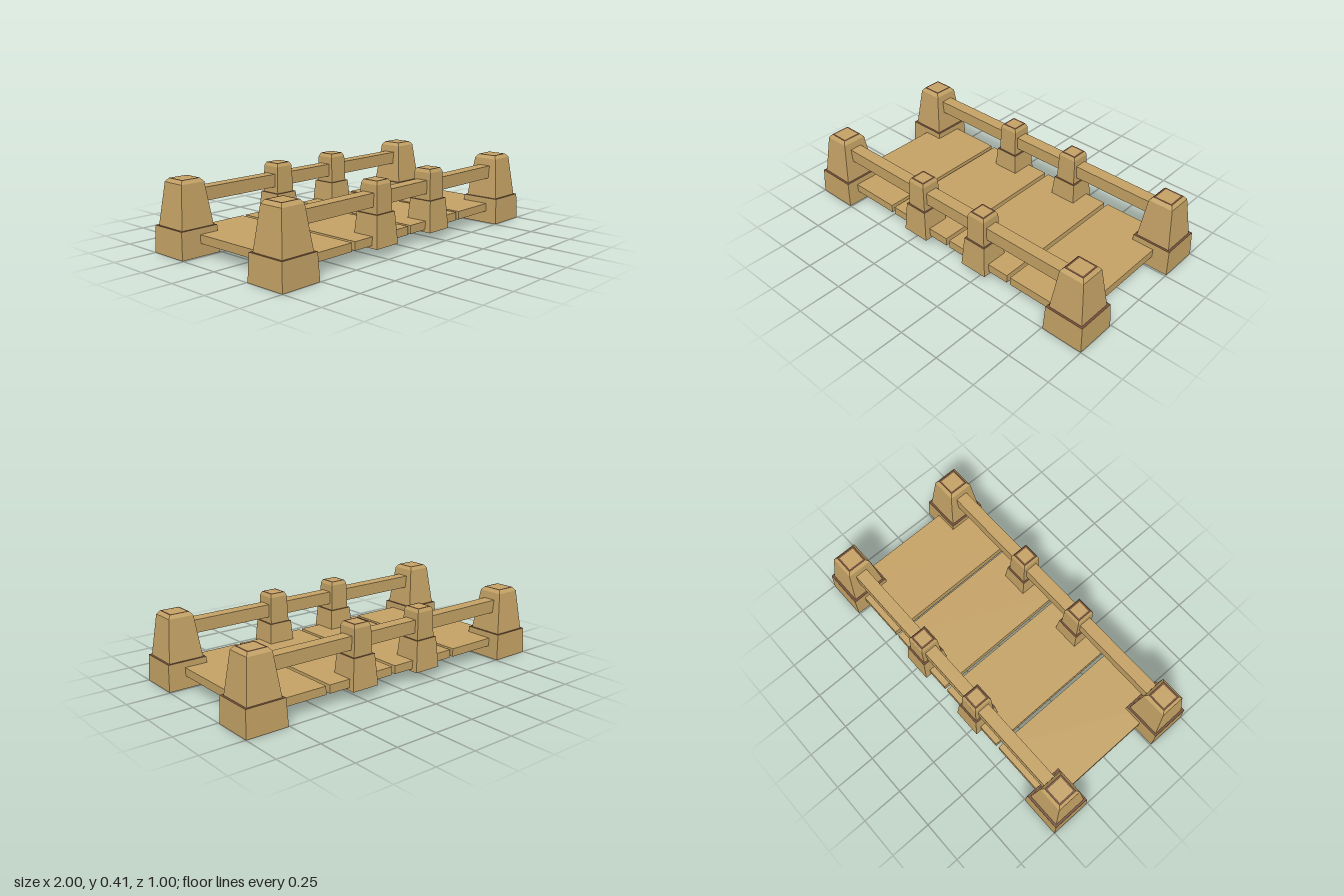
import * as THREE from 'three';

const wood = new THREE.MeshStandardMaterial({ color: 0xc4a265, flatShading: true, side: THREE.DoubleSide });
wood.name = 'tan wood';
const trim = new THREE.MeshStandardMaterial({ color: 0x76503a, flatShading: true, side: THREE.DoubleSide });
trim.name = 'brown trim';

// Open square band from half-width h0 at height y0 to half-width h1 at y1
function band(name, h0, y0, h1, y1, material = wood) {
  const g = new THREE.CylinderGeometry(h1 * Math.SQRT2, h0 * Math.SQRT2, y1 - y0, 4, 1, true);
  g.rotateY(Math.PI / 4);
  g.translate(0, (y0 + y1) / 2, 0);
  const m = new THREE.Mesh(g, material);
  m.name = name;
  return m;
}

// Tapered post: hollow footing, trimmed ledge, shaft, chamfer and inset cap
function post(name, p) {
  const g = new THREE.Group();
  g.name = name;
  const top = 0.407;
  g.add(
    band('footing', p.foot, p.y0, p.footTop, p.y1),
    band('ledge', p.footTop, p.y1, p.shaft, p.y1, trim),
    band('shaft', p.shaft, p.y1, p.shaftTop, p.y2),
    band('chamfer', p.shaftTop, p.y2, p.cap, top),
    band('capRing', p.cap, top, p.cap - 0.01, top, trim),
    band('capTop', p.cap - 0.01, top, 0, top)
  );
  return g;
}

function beam(name, x0, x1, y0, y1, z0, z1) {
  const m = new THREE.Mesh(new THREE.BoxGeometry(x1 - x0, y1 - y0, z1 - z0), wood);
  m.position.set((x0 + x1) / 2, (y0 + y1) / 2, (z0 + z1) / 2);
  m.name = name;
  return m;
}

export function createModel() {
  const bridge = new THREE.Group();
  bridge.name = 'bridge';

  const corner = { foot: 0.122, footTop: 0.115, shaft: 0.102, shaftTop: 0.073, cap: 0.057, y0: 0, y1: 0.152, y2: 0.387 };
  const middle = { foot: 0.085, footTop: 0.071, shaft: 0.061, shaftTop: 0.056, cap: 0.046, y0: 0.055, y1: 0.233, y2: 0.387 };

  // Posts and handrail on each side
  for (const [side, z] of [['front', 0.378], ['back', -0.381]]) {
    for (const x of [-0.878, 0.878]) {
      const p = post(side + 'CornerPost', corner);
      p.position.set(x, 0, z);
      bridge.add(p);
    }
    for (const x of [-0.215, 0.235]) {
      const p = post(side + 'MiddlePost', middle);
      p.position.set(x, 0, z);
      bridge.add(p);
    }
    bridge.add(beam(side + 'Rail', -0.83, 0.83, 0.27, 0.345, z - 0.038, z + 0.036));
  }

  // Deck boards with narrow gaps
  for (let i = 0; i < 4; i++) {
    const x = -0.877 + i * 0.449;
    bridge.add(beam('deckBoard', x, x + 0.426, 0.07, 0.118, -0.43, 0.426));
  }
  return bridge;
}
